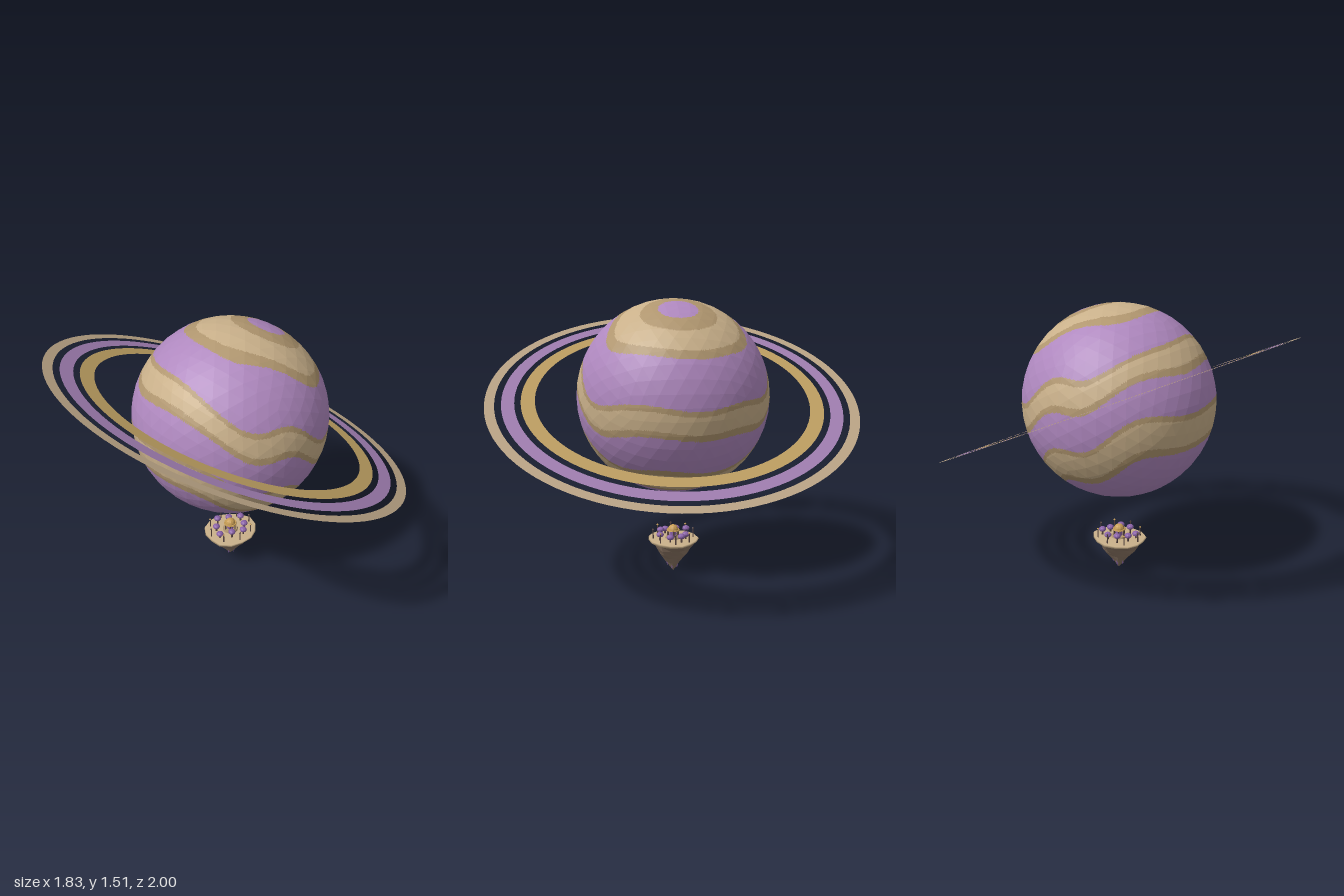
import * as THREE from 'three';

const mat = (name, color, extra = {}) =>
  Object.assign(new THREE.MeshStandardMaterial({ color, ...extra }), { name });

export function createModel() {
  const M = {
    purple: mat('lilac', 0xaf88bf),
    tan: mat('sand', 0xc9b08a),
    edge: mat('dark sand', 0xb0966f),
    ringTan: mat('ring beige', 0xb8a284, { side: THREE.DoubleSide }),
    ringPurple: mat('ring violet', 0x9e7cae, { side: THREE.DoubleSide }),
    ringGold: mat('ring gold', 0xba9c60, { side: THREE.DoubleSide }),
    rock: mat('rock brown', 0x8c7664, { flatShading: true }),
    crystal: mat('crystal violet', 0x8a62a8, { flatShading: true }),
    wood: mat('dark wood', 0x5a4742, { flatShading: true }),
    gold: mat('roof gold', 0xc79d55, { flatShading: true }),
  };
  const model = new THREE.Group();
  const add = (parent, name, geo, material, x = 0, y = 0, z = 0) => {
    const mesh = new THREE.Mesh(geo, material);
    mesh.name = name;
    mesh.position.set(x, y, z);
    parent.add(mesh);
    return mesh;
  };
  const TILT = 0.415;

  // Faceted planet, each facet divided so wavy bands can cross it
  add(model, 'planet', planetGeometry(0.52, TILT), [M.purple, M.tan, M.edge], 0, 1, 0);

  // Tilted flat rings
  const rings = new THREE.Group();
  rings.name = 'rings';
  rings.position.y = 1;
  rings.rotation.z = -TILT;
  model.add(rings);
  for (const [name, inner, outer, m] of [
    ['innerRing', 0.738, 0.812, M.ringGold],
    ['middleRing', 0.845, 0.913, M.ringPurple],
    ['outerRing', 0.948, 1, M.ringTan],
  ]) {
    const geo = new THREE.RingGeometry(inner, outer, 96).rotateX(-Math.PI / 2);
    add(rings, name, geo, m);
  }

  // Floating island: craggy rock under a thin uneven plate
  const island = new THREE.Group();
  island.name = 'floatingIsland';
  model.add(island);
  const lathe = (pts, jag) => {
    const geo = new THREE.LatheGeometry(pts.map(p => new THREE.Vector2(...p)), 14);
    const p = geo.attributes.position;
    for (let i = 0; i < p.count; i++) {
      const x = p.getX(i), y = p.getY(i), z = p.getZ(i), a = Math.atan2(z, x);
      const k = 1 + jag * (Math.sin(3 * a + 40 * y) + 0.7 * Math.sin(5 * a + 1 - 25 * y));
      p.setXYZ(i, x * k, y, z * k * 0.9);
    }
    return geo;
  };
  add(island, 'rock', lathe([[0, 0.008], [0.018, 0.03], [0.04, 0.06], [0.068, 0.095],
    [0.09, 0.12], [0.112, 0.15], [0.135, 0.18], [0, 0.18]], 0.07), M.rock);
  add(island, 'ground', lathe([[0, 0.178], [0.14, 0.18], [0.157, 0.19], [0.152, 0.198],
    [0, 0.2]], 0.035), M.tan);

  // Crystals hanging along the lower rock
  for (let i = 0; i < 6; i++) {
    const a = i * Math.PI / 3 + 0.4, r = 0.022 + 0.012 * (i % 2);
    const geo = new THREE.ConeGeometry(0.02, 0.075, 5).rotateX(Math.PI);
    add(island, 'crystal', geo, M.crystal, r * Math.cos(a), 0.058 + 0.02 * (i % 2), r * Math.sin(a));
  }

  // Central pavilion: posts under a gold dome
  const dome = r => new THREE.SphereGeometry(r, 10, 5, 0, Math.PI * 2, 0, Math.PI / 2);
  add(island, 'pavilionBase', new THREE.CylinderGeometry(0.042, 0.046, 0.01, 10), M.edge, 0, 0.204, 0);
  add(island, 'pavilionCore', new THREE.CylinderGeometry(0.02, 0.02, 0.04, 8), M.crystal, 0, 0.225, 0);
  for (let i = 0; i < 6; i++) {
    const a = i * Math.PI / 3;
    add(island, 'pavilionPost', new THREE.CylinderGeometry(0.004, 0.004, 0.04, 5), M.wood,
      0.032 * Math.cos(a), 0.225, 0.032 * Math.sin(a));
  }
  add(island, 'pavilionEave', new THREE.CylinderGeometry(0.036, 0.038, 0.006, 10), M.gold, 0, 0.245, 0);
  add(island, 'pavilionDome', dome(0.03), M.gold, 0, 0.246, 0);

  // Round trees and lamp posts around the pavilion
  for (let i = 0; i < 8; i++) {
    const a = i * Math.PI / 4 + 0.35, r = 0.085 + 0.015 * (i % 2);
    const x = r * Math.cos(a), z = r * 0.85 * Math.sin(a);
    const h = 0.226 + 0.007 * (i % 3);
    add(island, 'treeTrunk', new THREE.CylinderGeometry(0.004, 0.006, h - 0.195, 5), M.wood,
      x, (h + 0.195) / 2, z);
    const crown = add(island, 'treeCrown', new THREE.IcosahedronGeometry(0.021, 1), M.crystal, x, h, z);
    crown.scale.y = 0.75;
  }
  for (let i = 0; i < 8; i++) {
    const a = i * Math.PI / 4, x = 0.128 * Math.cos(a), z = 0.112 * Math.sin(a);
    add(island, 'lampPost', new THREE.CylinderGeometry(0.003, 0.004, 0.05, 5), M.wood, x, 0.222, z);
    add(island, 'lamp', new THREE.OctahedronGeometry(0.007), i % 2 ? M.gold : M.wood, x, 0.25, z);
  }
  return model;
}

// Icosphere whose flat facets are cut finely and sorted into band colours
function planetGeometry(radius, tilt) {
  const src = new THREE.IcosahedronGeometry(radius, 7).attributes.position;
  const axis = new THREE.Vector3(Math.sin(tilt), Math.cos(tilt), 0);
  const bands = [[0.74, 0.982], [0.03, 0.32], [-0.66, -0.3]];
  const lists = [[], [], []];
  const N = 8, mid = new THREE.Vector3();

  // 0 lilac, 1 sand, 2 dark sand along the band edges
  const colourAt = n => {
    const v = n.dot(axis);
    const fade = Math.min(1, 2.2 * (1 - Math.abs(v)));
    const t = v - fade * (0.065 * Math.sin(7.5 * n.x + 0.74) + 0.02 * Math.sin(6 * n.z));
    for (const [lo, hi] of bands) {
      if (t > lo && t < hi) return t < lo + 0.065 || t > hi - 0.05 ? 2 : 1;
    }
    return 0;
  };
  const put = (...tri) => {
    mid.set(0, 0, 0);
    tri.forEach(p => mid.add(p));
    const list = lists[colourAt(mid.normalize())];
    tri.forEach(p => list.push(p.x, p.y, p.z));
  };

  for (let f = 0; f < src.count; f += 3) {
    const [a, b, c] = [0, 1, 2].map(k => new THREE.Vector3().fromBufferAttribute(src, f + k));
    b.sub(a);
    c.sub(a);
    const at = (i, j) => a.clone().addScaledVector(b, i / N).addScaledVector(c, j / N);
    for (let i = 0; i < N; i++) {
      for (let j = 0; j < N - i; j++) {
        put(at(i, j), at(i + 1, j), at(i, j + 1));
        if (i + j < N - 1) put(at(i + 1, j), at(i + 1, j + 1), at(i, j + 1));
      }
    }
  }

  const geo = new THREE.BufferGeometry();
  geo.setAttribute('position', new THREE.Float32BufferAttribute(lists.flat(), 3));
  let start = 0;
  lists.forEach((list, k) => {
    geo.addGroup(start, list.length / 3, k);
    start += list.length / 3;
  });
  geo.computeVertexNormals();
  return geo;
}
